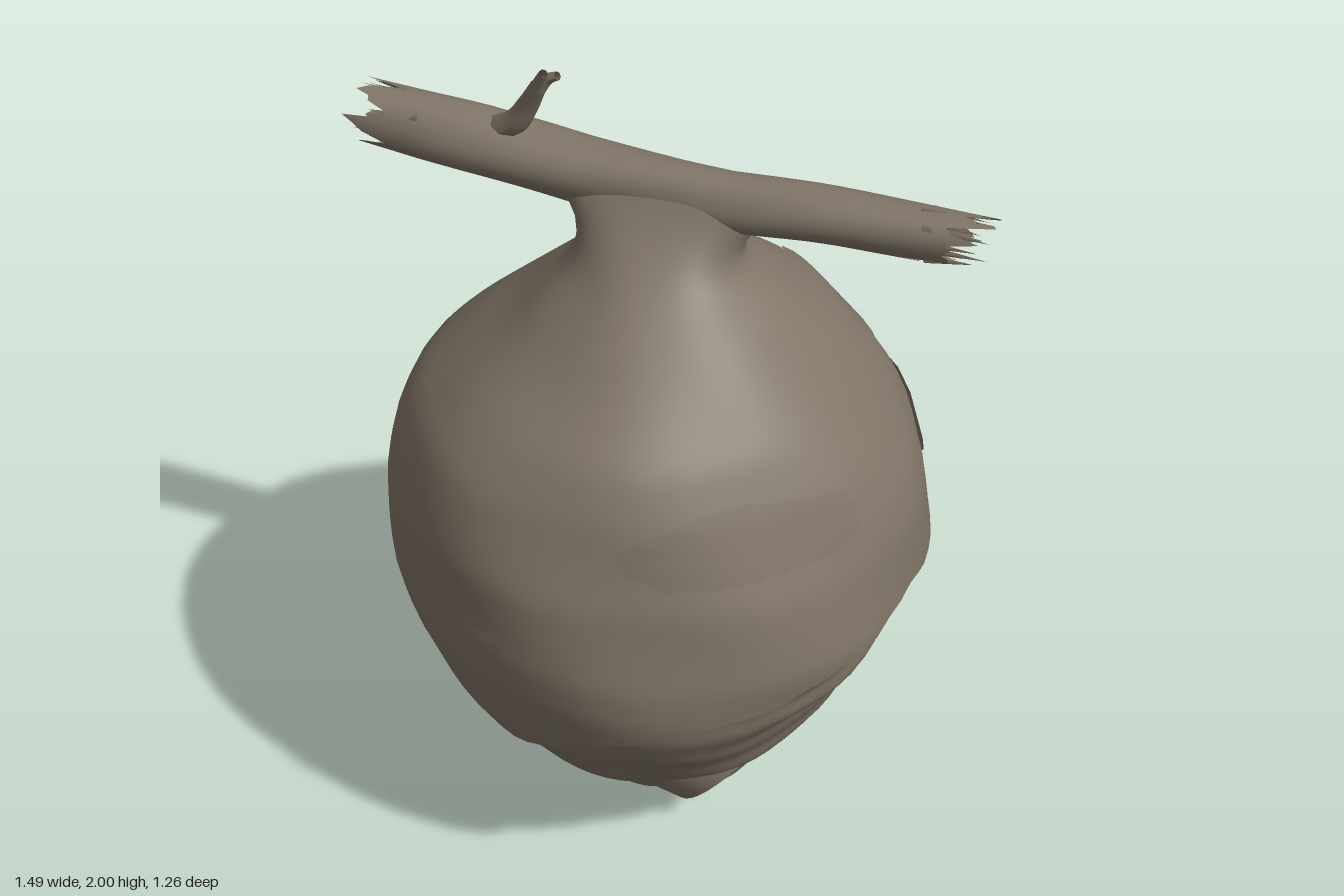
import * as THREE from 'three';

const TAU = Math.PI * 2;
const paper = new THREE.MeshStandardMaterial({ color: 0x807567, side: THREE.DoubleSide });
paper.name = 'weathered grey brown';

// Nest outline rows: y, xMin, xMax, zMin, zMax
const OUTER = [
  [1.765, -0.3, 0.29, -0.05, 0.03], [1.7, -0.26, 0.24, -0.09, 0.07], [1.65, -0.205, 0.195, -0.12, 0.11],
  [1.6, -0.19, 0.18, -0.15, 0.16], [1.55, -0.2, 0.21, -0.19, 0.21], [1.5, -0.25, 0.28, -0.24, 0.27],
  [1.4, -0.35, 0.375, -0.37, 0.37], [1.3, -0.47, 0.455, -0.455, 0.48], [1.2, -0.58, 0.525, -0.535, 0.54],
  [1.1, -0.625, 0.575, -0.59, 0.575], [1.0, -0.64, 0.605, -0.62, 0.61], [0.8, -0.64, 0.635, -0.63, 0.63],
  [0.7, -0.62, 0.62, -0.615, 0.62], [0.55, -0.57, 0.58, -0.575, 0.575], [0.35, -0.46, 0.46, -0.45, 0.45],
];
const INNER = [
  [0.9, -0.58, 0.585, -0.58, 0.58], [0.8, -0.59, 0.585, -0.59, 0.59], [0.7, -0.58, 0.57, -0.585, 0.585],
  [0.6, -0.555, 0.535, -0.565, 0.565], [0.5, -0.51, 0.475, -0.53, 0.52], [0.4, -0.455, 0.435, -0.475, 0.45],
  [0.3, -0.37, 0.365, -0.38, 0.385], [0.2, -0.25, 0.22, -0.275, 0.28], [0.1, -0.11, 0.13, -0.19, 0.195],
  [0.01, 0.02, 0.06, -0.08, 0.08],
];

function seeded(seed) {
  return () => (seed = (seed * 16807) % 2147483647) / 2147483647;
}

function extent(rows, y) {
  let i = 0;
  while (i < rows.length - 2 && y < rows[i + 1][0]) i++;
  const t = THREE.MathUtils.clamp((rows[i][0] - y) / (rows[i][0] - rows[i + 1][0]), 0, 1);
  return rows[i].map((v, k) => v + (rows[i + 1][k] - v) * t);
}

// Point on a nest layer at angle a (0 = +x, quarter turn = +z) and height y
function surface(rows, a, y, offset = 0) {
  const above = extent(rows, y + 0.025), here = extent(rows, y), below = extent(rows, y - 0.025);
  const e = here.map((v, k) => (above[k] + 2 * v + below[k]) / 4);
  const cx = (e[1] + e[2]) / 2, cz = (e[3] + e[4]) / 2;
  const lump = 0.006 * Math.sin(3 * a + 7 * y) + 0.004 * Math.sin(7 * a - 11 * y);
  const grow = offset + lump * Math.min(1, (e[4] - e[3]));
  return new THREE.Vector3(
    cx + ((e[2] - e[1]) / 2 + grow) * Math.cos(a), y, cz + ((e[4] - e[3]) / 2 + grow) * Math.sin(a));
}

// Skin of rows x cols points, closed around the columns
function skin(name, rows, cols, pointAt) {
  const pos = [], idx = [];
  for (let i = 0; i <= rows; i++)
    for (let j = 0; j < cols; j++) pos.push(...pointAt(i / rows, j / cols * TAU, j).toArray());
  for (let i = 0; i < rows; i++)
    for (let j = 0; j < cols; j++) {
      const k = (j + 1) % cols;
      const a = i * cols + j, b = i * cols + k, c = a + cols, d = b + cols;
      idx.push(a, b, c, b, d, c);
    }
  const geo = new THREE.BufferGeometry();
  geo.setAttribute('position', new THREE.Float32BufferAttribute(pos, 3));
  geo.setIndex(idx);
  geo.computeVertexNormals();
  const mesh = new THREE.Mesh(geo, paper);
  mesh.name = name;
  return mesh;
}

const ragged = a => 0.012 * Math.sin(5 * a + 1) + 0.008 * Math.sin(13 * a) + 0.005 * Math.sin(29 * a);
const tornEdge = a => 0.575 + 0.235 * Math.cos(a) + ragged(a);

// Loose paper sheet on the outer layer; slope sinks its lower edge into the nest
function sheet(name, a0, y0, halfA, halfY, lift, slope, sides = 36) {
  return skin(name, 8, sides, (t, p) => {
    const r = t * (1 + 4 * ragged(p));
    return surface(OUTER, a0 + halfA * r * Math.cos(p), y0 + halfY * r * Math.sin(p),
      lift * (1 + slope * r * Math.sin(p)));
  });
}

// Centre height, centre z and radius along the branch
const BRANCH = [
  [-0.75, 1.765, -0.025, 0.072], [-0.45, 1.74, -0.025, 0.078], [-0.2, 1.718, -0.02, 0.077],
  [0.15, 1.718, -0.015, 0.067], [0.35, 1.735, -0.012, 0.064], [0.76, 1.745, -0.015, 0.057],
];
function branchPoint(x, a, scale) {
  let i = 0;
  while (i < BRANCH.length - 2 && x > BRANCH[i + 1][0]) i++;
  const t = (x - BRANCH[i][0]) / (BRANCH[i + 1][0] - BRANCH[i][0]);
  const [, y, z, r] = BRANCH[i].map((v, k) => v + (BRANCH[i + 1][k] - v) * t);
  const R = r * scale * (1 + 0.04 * Math.sin(3 * a + 9 * x));
  return new THREE.Vector3(x, y + R * Math.cos(a), z + R * Math.sin(a));
}
function branchTube(name, scale, seed) {
  const rnd = seeded(seed), left = [], right = [];
  for (let j = 0; j < 28; j++) {
    left.push(-0.62 - 0.13 * rnd());
    right.push(0.57 + 0.14 * rnd() + 0.05 * Math.cos(j / 28 * TAU));
  }
  return skin(name, 24, 28, (t, a, j) => {
    const x = t === 0 ? left[j] : t === 1 ? right[j] : -0.62 + 1.15 * t;
    return branchPoint(x, a, scale);
  });
}

// Tapered twig along a path
function twig(name, points, r0, r1) {
  const path = new THREE.CatmullRomCurve3(points.map(p => new THREE.Vector3(...p)));
  const geo = new THREE.TubeGeometry(path, 10, 1, 8);
  const pos = geo.attributes.position, v = new THREE.Vector3();
  for (let i = 0; i < pos.count; i++) {
    const t = Math.floor(i / 9) / 10, c = path.getPointAt(t);
    v.fromBufferAttribute(pos, i).sub(c).multiplyScalar(r0 + (r1 - r0) * t).add(c);
    pos.setXYZ(i, v.x, v.y, v.z);
  }
  geo.computeVertexNormals();
  const mesh = new THREE.Mesh(geo, paper);
  mesh.name = name;
  return mesh;
}

export function createModel() {
  const model = new THREE.Group();
  model.name = 'hangingNest';

  // Outer paper layer, ending in a slanting torn edge
  model.add(skin('outerLayer', 44, 72, (t, a) => surface(OUTER, a, 1.765 + (tornEdge(a) - 1.765) * t)));

  // Wrinkled inner layer, starting under the torn edge and hollowed at the entrance
  const centre = new THREE.Vector3(0.19, 0.15, 0);
  const axis = new THREE.Vector3(0.75, -0.66, 0).normalize();
  model.add(skin('innerLayer', 56, 72, (t, a) => {
    const cut = tornEdge(a);
    if (t === 0) return surface(OUTER, a, cut);
    const y = cut + (0.01 - cut) * t;
    const side = Math.max(0, Math.cos(a + 0.3));
    const ripple = side * Math.min(1, y * 3) *
      (0.007 * Math.sin(y * 52 + 3 * Math.sin(2 * a)) + 0.005 * Math.sin(y * 31 + 5 * a));
    const p = surface(INNER, a, y, ripple);
    const rel = p.clone().sub(centre), d = rel.dot(axis);
    const radial = rel.addScaledVector(axis, -d).length();
    const limit = -0.16 + 0.2 * THREE.MathUtils.smoothstep(radial, 0.1, 0.2);
    if (radial < 0.2 && d > limit) p.addScaledVector(axis, limit - d);
    return p;
  }));

  // Loose sheets around the nest
  model.add(sheet('upperSheet', -0.5, 1.38, 0.58, 0.12, 0.01, 0));
  model.add(sheet('frontSheet', 0.85, 1.13, 0.5, 0.1, 0.006, 1.6));
  model.add(sheet('backSheet', -1.5, 0.98, 1.05, 0.17, 0.007, 1.5));
  model.add(sheet('smallFlap', 1.89, 0.85, 0.14, 0.045, 0.018, 0, 3));

  // Entrance: wide collar and a hollow spout with a closed end
  const entrance = new THREE.Group();
  entrance.name = 'entrance';
  entrance.position.copy(centre);
  entrance.quaternion.setFromUnitVectors(new THREE.Vector3(0, 1, 0), axis);
  const ring = (name, profile) => {
    const mesh = new THREE.Mesh(
      new THREE.LatheGeometry(profile.map(p => new THREE.Vector2(...p)), 36), paper);
    mesh.name = name;
    entrance.add(mesh);
  };
  ring('collar', [[0.235, -0.12], [0.22, -0.06], [0.2, 0], [0.192, 0], [0.185, -0.05], [0.17, -0.08]]);
  ring('spout', [[0.17, -0.08], [0.155, -0.03], [0.13, 0.015], [0.11, 0.035], [0.105, 0.03], [0.1, -0.14], [0, -0.15]]);
  model.add(entrance);

  // Hollow branch with splintered ends
  model.add(branchTube('branchBark', 1, 71));
  model.add(branchTube('branchCore', 0.8, 523));
  const rnd = seeded(99);
  for (const s of [-1, 1])
    for (let i = 0; i < 7; i++) {
      const len = 0.1 + 0.06 * rnd();
      const spike = new THREE.Mesh(new THREE.ConeGeometry(0.012, len, 4), paper);
      spike.name = 'splinter';
      spike.position.copy(branchPoint(s * (0.67 - 0.05 * rnd()), i * 0.9, 0.85));
      spike.rotation.z = -s * Math.PI / 2 + 0.15 * (rnd() - 0.5);
      model.add(spike);
    }

  // Forked twig on top of the branch
  model.add(twig('twig', [[-0.4, 1.78, -0.02], [-0.345, 1.825, 0], [-0.31, 1.88, 0.012], [-0.275, 1.945, 0.035]], 0.034, 0.019));
  model.add(twig('twigForkLeft', [[-0.285, 1.925, 0.028], [-0.272, 1.955, 0.04], [-0.252, 1.995, 0.06]], 0.018, 0.01));
  model.add(twig('twigForkRight', [[-0.285, 1.925, 0.028], [-0.255, 1.965, 0.03], [-0.23, 1.98, 0.035]], 0.018, 0.01));
  return model;
}
